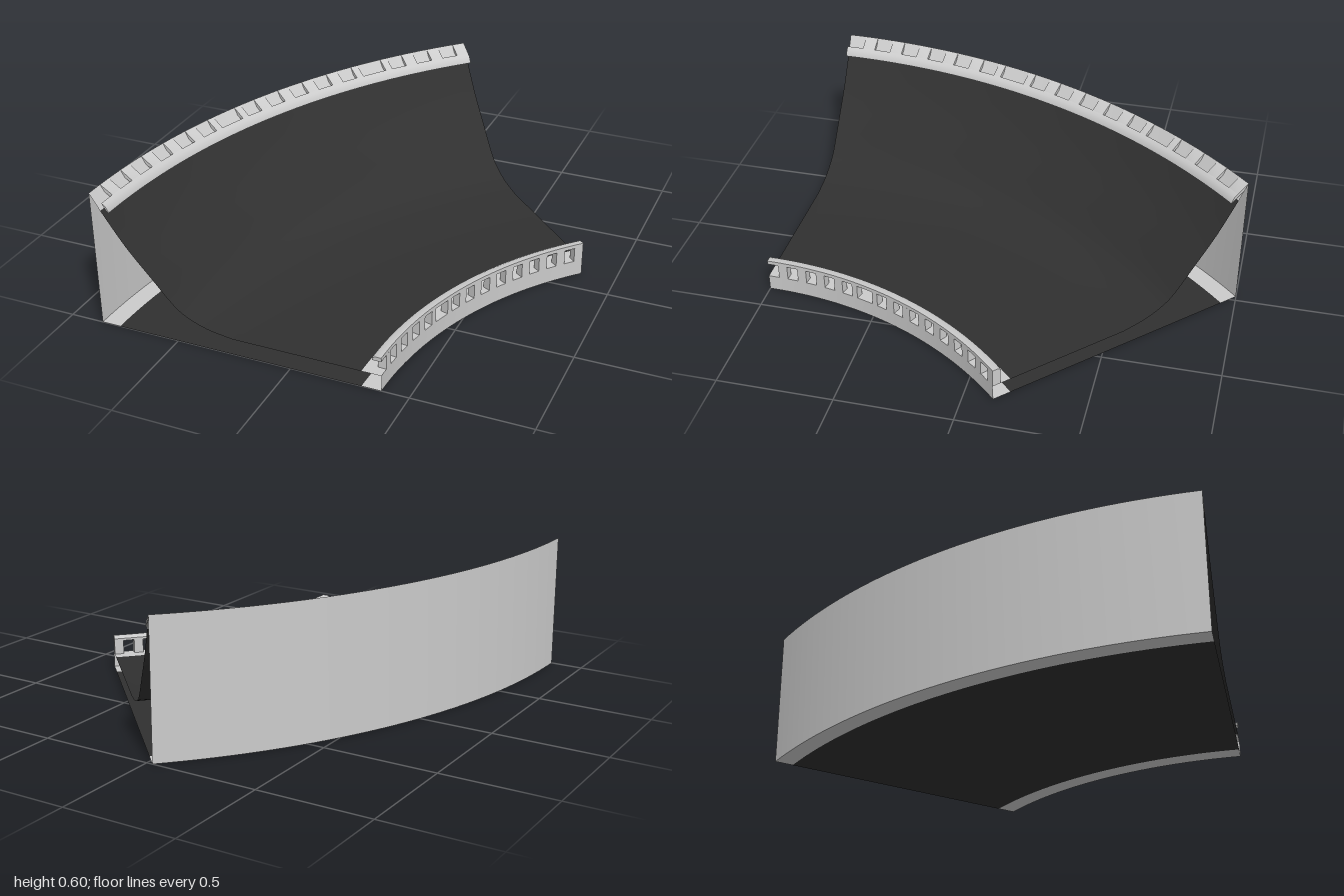
import * as THREE from 'three';
import { mergeGeometries, toCreasedNormals } from 'three/addons/utils/BufferGeometryUtils.js';

const CX = 1.973, CZ = 1;          // centre of the bend
const SWEEP = 45;                  // degrees
const rad = THREE.MathUtils.degToRad;

const grey = new THREE.MeshStandardMaterial({ color: 0xcccccc, side: THREE.DoubleSide });
const asphalt = new THREE.MeshStandardMaterial({ color: 0x303030, side: THREE.DoubleSide });

// Sweeps a section, given as [x, y] at the front end, around the bend.
function sweep(section, a0 = 0, a1 = SWEEP, closed = false) {
  const pts = section.map(([x, y]) => new THREE.Vector2(CX - x, y));
  const loop = closed ? [...pts, pts[0]] : pts;
  const segments = Math.max(1, Math.round((a1 - a0) / 1.25));
  const lathe = new THREE.LatheGeometry(loop, segments, -Math.PI / 2 - rad(a1), rad(a1 - a0));
  const parts = [lathe.toNonIndexed()];
  if (closed) {
    const shape = new THREE.Shape(pts.map((p) => new THREE.Vector2(-p.x, p.y)));
    for (const a of [a0, a1]) {
      parts.push(new THREE.ShapeGeometry(shape).rotateY(-rad(a)).toNonIndexed());
    }
  }
  return toCreasedNormals(mergeGeometries(parts).translate(CX, 0, CZ), Math.PI / 6);
}

function mesh(name, geometry, material) {
  const m = new THREE.Mesh(geometry, material);
  m.name = name;
  return m;
}

// Guard rail on a sloped or flat shoulder: u runs across the shoulder, v stands on it.
function guardRail(name, origin, tilt, windows, windowWidth, wide) {
  const c = Math.cos(tilt), s = Math.sin(tilt);
  const place = ([u, v]) => [origin[0] - u * c + v * s, origin[1] - u * s + v * c];
  const group = new THREE.Group();
  group.name = name;

  const shoulder = [[0, 0], [0.083, 0]].map(place);
  group.add(mesh('shoulder', sweep(shoulder), grey));

  const bar = [[0, 0.064], [0, 0.081], [0.024, 0.081], [0.038, 0.074], [0.038, 0.064]].map(place);
  group.add(mesh('topBar', sweep(bar, 0, SWEEP, true), grey));

  // posts fill the spaces between the windows
  const post = [[0, 0], [0, 0.065], [0.036, 0.065], [0.036, 0]].map(place);
  const pitch = SWEEP / windows;
  const posts = [];
  let start = windowWidth;
  for (let i = 1; i <= windows; i++) {
    const extra = wide.includes(i) ? windowWidth * 0.3 : 0;
    const end = i === windows ? SWEEP : i * pitch - extra;
    posts.push(sweep(post, start, end, true));
    start = i * pitch + windowWidth + extra;
  }
  group.add(mesh('posts', mergeGeometries(posts), grey));
  return group;
}

export function createModel() {
  const model = new THREE.Group();
  model.name = 'bankedTrackCurve';

  // road surface: flat lane rising into a steep bank
  const bank = new THREE.SplineCurve([
    [-0.81, 0.53], [-0.71, 0.39], [-0.6, 0.265], [-0.51, 0.165],
    [-0.45, 0.122], [-0.36, 0.088], [-0.25, 0.071],
  ].map(([x, y]) => new THREE.Vector2(x, y)));
  const road = bank.getPoints(18).map((p) => [p.x, p.y]);
  model.add(mesh('roadSurface', sweep([...road, [0.302, 0.07]]), asphalt));

  // side walls and base
  model.add(mesh('outerWall', sweep([[-0.855, 0], [-0.855, 0.6]]), grey));
  model.add(mesh('innerWall', sweep([[0.385, 0], [0.385, 0.07]]), grey));
  model.add(mesh('outerBaseStrip', sweep([[-0.855, 0], [-0.772, 0]]), grey));
  model.add(mesh('innerBaseStrip', sweep([[0.302, 0], [0.385, 0]]), grey));
  model.add(mesh('basePlate', sweep([[-0.772, 0], [0.302, 0]]), asphalt));

  // guard rails along both edges
  model.add(guardRail('innerGuardRail', [0.385, 0.07], 0, 14, 1.75, [5]));
  model.add(guardRail('outerGuardRail', [-0.855, 0.6], Math.PI - Math.atan2(-0.07, -0.045) - Math.PI, 16, 1.6, [6, 12]));

  return model;
}
